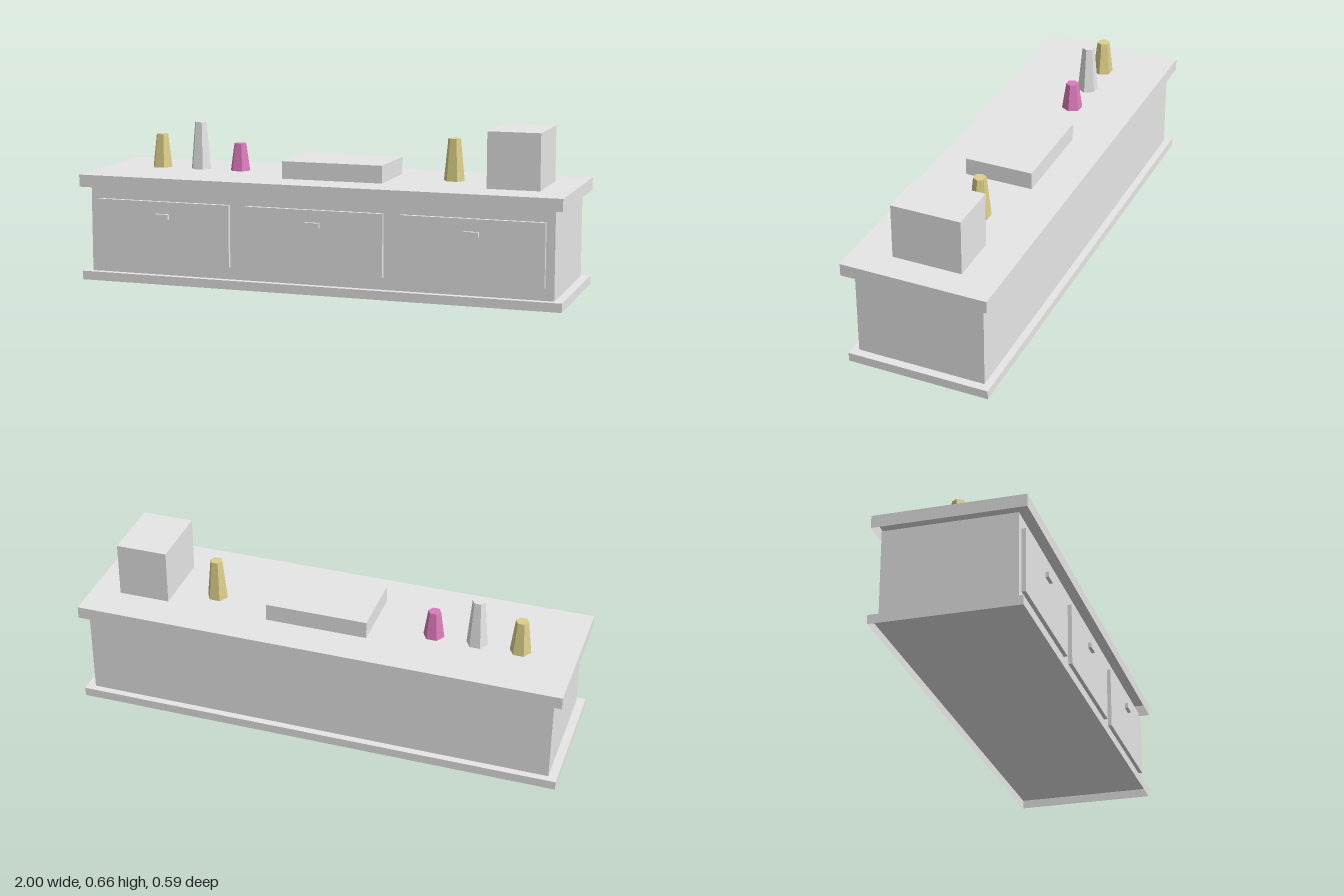
import * as THREE from 'three';

export function createModel() {
  const group = new THREE.Group();
  const mat = (name, color) => {
    const m = new THREE.MeshStandardMaterial({ color, side: THREE.DoubleSide });
    m.name = name;
    return m;
  };
  const grey = mat('light grey', 0xe6e6e6);
  const gold = mat('pale gold', 0xddcf8a);
  const pink = mat('pink', 0xdd7abb);

  // Box given by its extents on each axis
  const box = (name, [x0, x1], [y0, y1], [z0, z1]) => {
    const mesh = new THREE.Mesh(new THREE.BoxGeometry(x1 - x0, y1 - y0, z1 - z0), grey);
    mesh.position.set((x0 + x1) / 2, (y0 + y1) / 2, (z0 + z1) / 2);
    mesh.name = name;
    group.add(mesh);
    return mesh;
  };

  // Thin shell, open underneath: a box without its bottom face
  const shell = (...args) => {
    const { geometry } = box(...args);
    const index = Array.from(geometry.index.array);
    index.splice(18, 6);
    geometry.setIndex(index);
    geometry.clearGroups();
  };

  // Cabinet
  const top = 0.438;
  shell('plinth', [-1, 1], [0, 0.036], [-0.296, 0.282]);
  box('cabinetBody', [-0.965, 0.965], [0.036, 0.388], [-0.267, 0.255]);
  shell('countertop', [-1, 1], [0.388, top], [-0.296, 0.296]);

  // Drawer fronts with small pulls
  for (const x of [-0.643, 0, 0.643]) {
    box('drawerFront', [x - 0.287, x + 0.287], [0.086, 0.339], [0.255, 0.271]);
    box('drawerHandle', [x - 0.029, x + 0.029], [0.269, 0.29], [0.271, 0.285]);
  }

  // Boxes on the counter
  box('flatBox', [-0.176, 0.244], [top, 0.509], [-0.141, 0.141]);
  box('tallBox', [0.668, 0.879], [top, 0.662], [-0.141, 0.141]);

  // Six-sided tapered bottles
  const bottles = [
    [-0.775, 0.577, gold],
    [-0.6, 0.634, grey],
    [-0.424, 0.551, pink],
    [0.492, 0.607, gold],
  ];
  for (const [x, y, material] of bottles) {
    const geometry = new THREE.CylinderGeometry(0.026, 0.043, y - top, 6).rotateY(Math.PI / 6).toNonIndexed();
    geometry.computeVertexNormals();
    const bottle = new THREE.Mesh(geometry, material);
    bottle.position.set(x, (top + y) / 2, -0.036);
    bottle.name = 'bottle';
    group.add(bottle);
  }

  return group;
}
